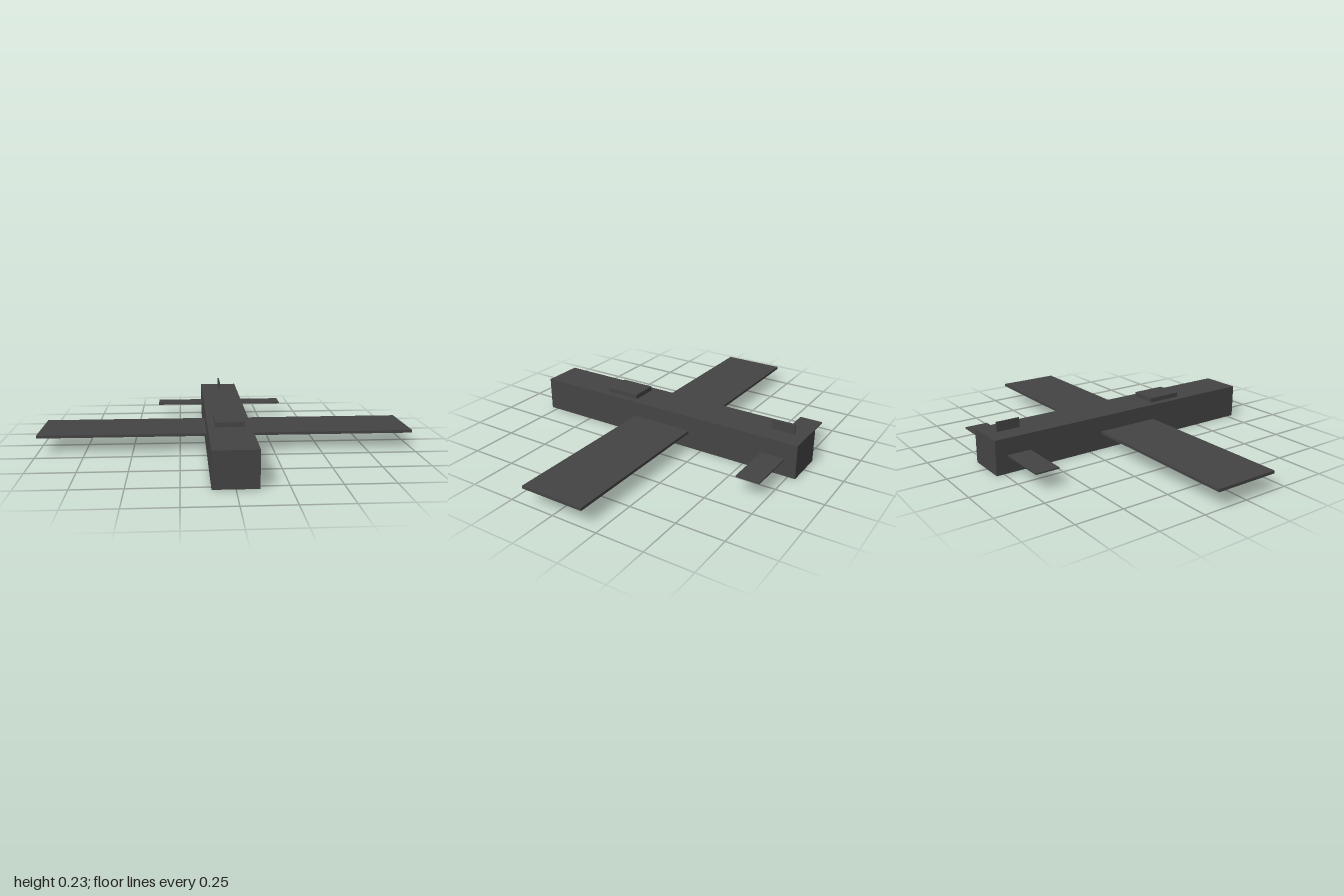
import * as THREE from 'three';

export function createModel() {
  const model = new THREE.Group();
  model.name = 'airplane';
  const material = new THREE.MeshStandardMaterial({ color: 0x444444 });

  // Box given by its size and centre
  function addBox(name, [w, h, d], [x, y, z]) {
    const mesh = new THREE.Mesh(new THREE.BoxGeometry(w, h, d), material);
    mesh.name = name;
    mesh.position.set(x, y, z);
    model.add(mesh);
  }

  const bodyWidth = 0.22, bodyHeight = 0.183, midY = bodyHeight / 2;

  // Body, standing on the ground
  addBox('fuselage', [bodyWidth, bodyHeight, 1.58], [0, midY, 0]);

  // Main wing and tailplane run straight through the body
  addBox('wing', [2, 0.015, 0.347], [0, midY + 0.001, 0]);
  addBox('tailplane', [0.768, 0.007, 0.126], [0, midY, -0.663]);

  // Low cockpit and upright fin, sunk slightly into the roof
  addBox('cockpit', [0.146, 0.05, 0.189], [0, 0.183, 0.283]);
  addBox('tailFin', [0.007, 0.102, 0.126], [0, 0.183, -0.663]);

  return model;
}
